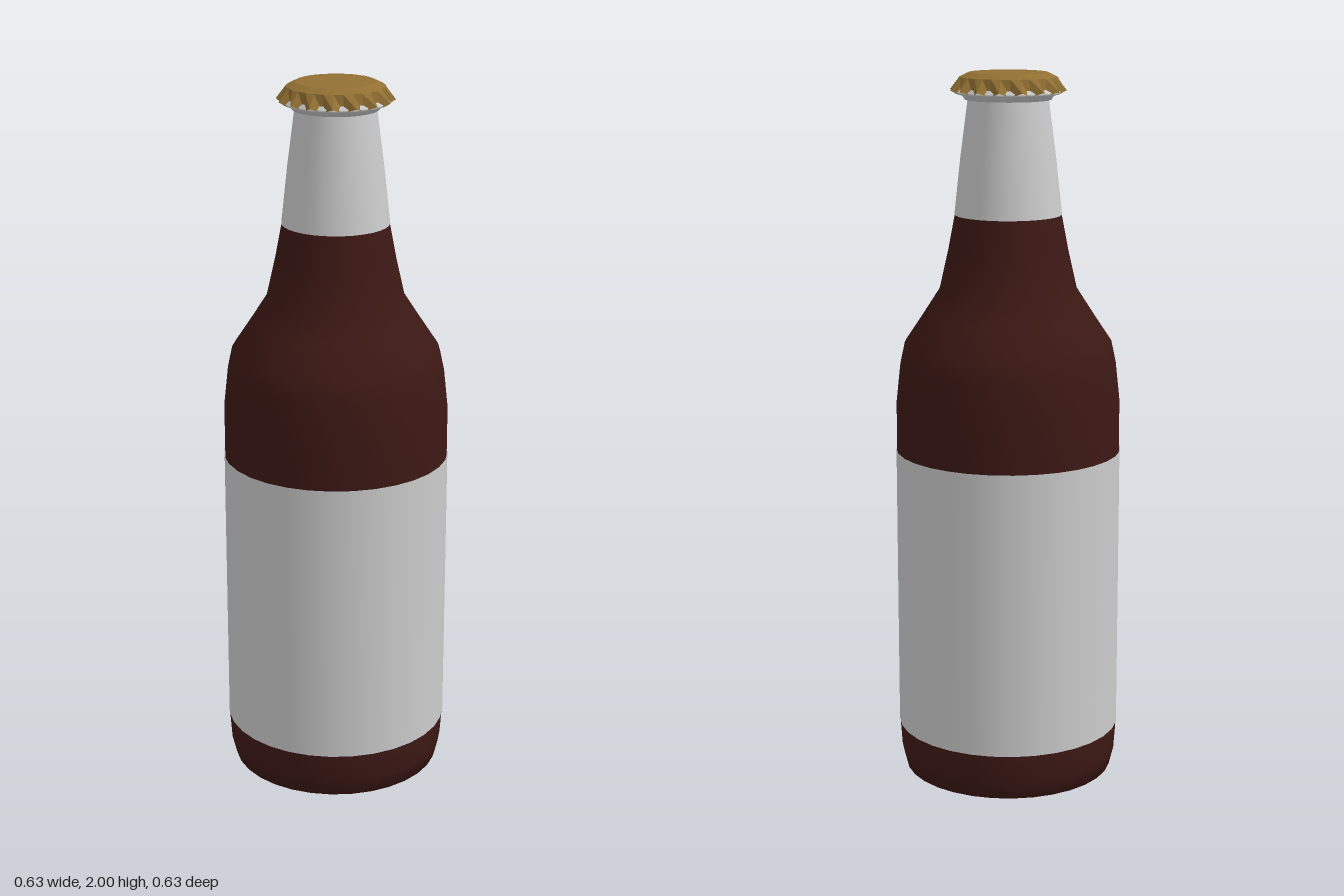
import * as THREE from 'three';

const SIDES = 32;
const glass = new THREE.MeshStandardMaterial({ color: 0x3c1814 });
const paper = new THREE.MeshStandardMaterial({ color: 0xcccccc, side: THREE.DoubleSide });
const gold = new THREE.MeshStandardMaterial({ color: 0x927033, side: THREE.DoubleSide, flatShading: true });

// Revolve [radius, height] pairs, listed from the bottom up
function lathe(name, profile, material) {
  const points = profile.map(([r, y]) => new THREE.Vector2(r, y));
  const mesh = new THREE.Mesh(new THREE.LatheGeometry(points, SIDES), material);
  mesh.name = name;
  return mesh;
}

// Crown cap: a revolved disc whose hem alternates between tips and valleys
function createCap() {
  const hemRow = 0, rows = 4;
  const cap = lathe('crownCap', [[0.15, 1.945], [0.133, 1.988], [0.108, 2], [0, 2]], gold);
  const pos = cap.geometry.attributes.position;
  for (let i = 0; i <= SIDES; i++) {
    const angle = (i / SIDES) * Math.PI * 2;
    const tip = i % 2 === 0;
    const r = tip ? 0.16 : 0.14;
    pos.setXYZ(i * rows + hemRow, Math.sin(angle) * r, tip ? 1.953 : 1.942, Math.cos(angle) * r);
  }
  cap.geometry = cap.geometry.toNonIndexed();
  cap.geometry.computeVertexNormals();
  return cap;
}

export function createModel() {
  const bottle = new THREE.Group();
  bottle.name = 'bottle';

  // Glass body with a shallow hollow underneath
  bottle.add(lathe('glassBody', [
    [0, 0.03], [0.14, 0.025], [0.19, 0.008], [0.22, 0], [0.25, 0.004], [0.295, 0.018],
    [0.308, 0.07], [0.313, 0.14], [0.313, 0.95], [0.313, 1.09], [0.301, 1.2],
    [0.288, 1.26], [0.235, 1.34], [0.19, 1.41], [0.165, 1.52], [0.147, 1.615],
  ], glass));

  // Wrapped paper label
  bottle.add(lathe('bodyLabel', [[0.315, 0.15], [0.315, 0.955]], paper));

  // Pale neck sleeve and the rolled lip beneath the cap
  bottle.add(lathe('neckSleeve', [[0.148, 1.615], [0.131, 1.77], [0.11, 1.93]], paper));
  bottle.add(lathe('lip', [
    [0.108, 1.93], [0.118, 1.927], [0.125, 1.938], [0.146, 1.944], [0.147, 1.95], [0.13, 1.965],
  ], paper));

  bottle.add(createCap());
  return bottle;
}
